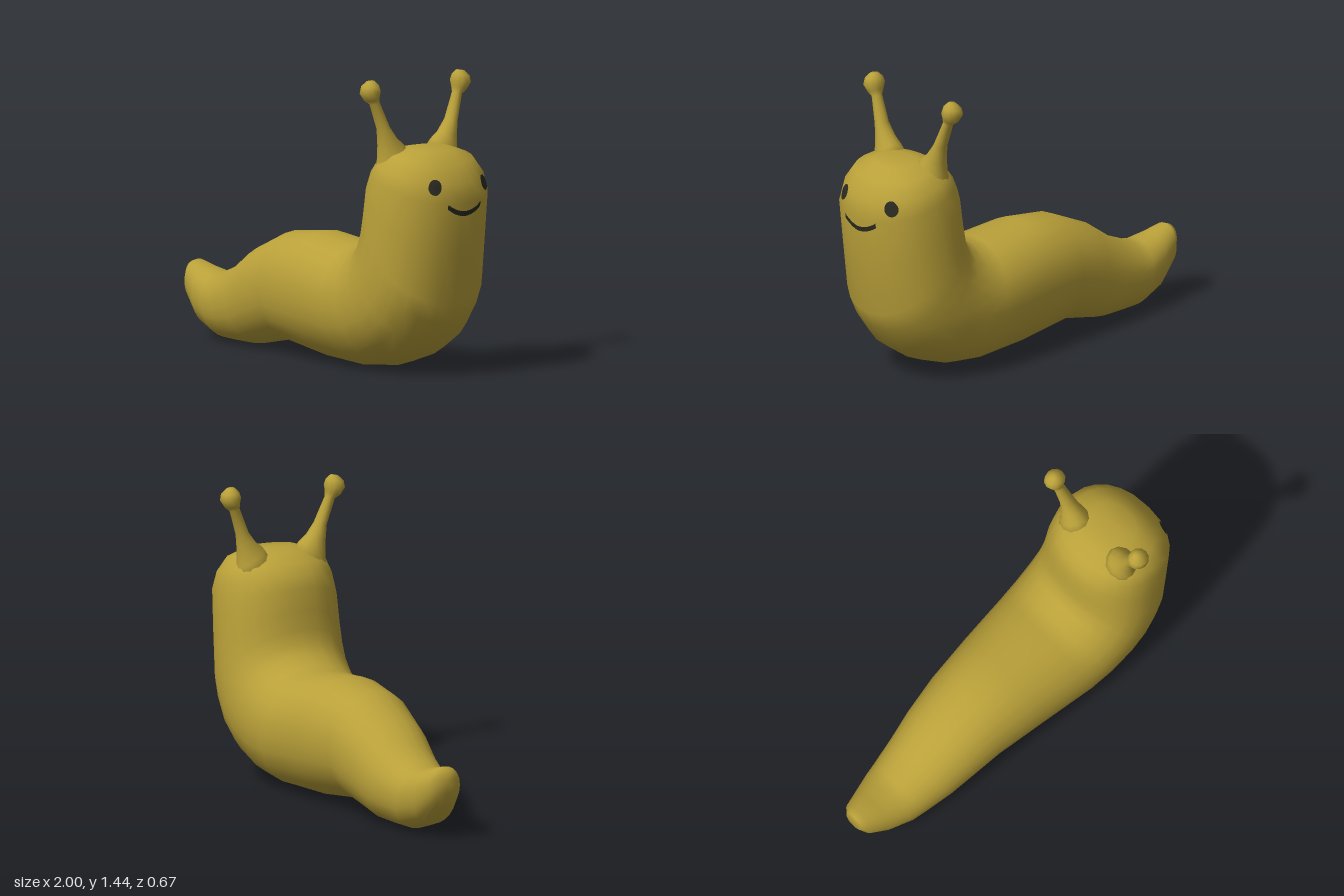
import * as THREE from 'three';

const skin = new THREE.MeshStandardMaterial({ color: 0xb9a039 });
skin.name = 'mustardSkin';
const ink = new THREE.MeshStandardMaterial({ color: 0x2a2a22 });
ink.name = 'darkFace';

const V = (x, y, z) => new THREE.Vector3(x, y, z);

// Closed skin through rings { c: centre, u, v: half axes }, with u x v pointing along the path
function loft(rings, sides, power) {
  const pos = [], idx = [];
  const bend = (n) => Math.sign(n) * Math.abs(n) ** (2 / power);
  for (const { c, u, v } of rings) {
    for (let j = 0; j < sides; j++) {
      const t = (j / sides) * Math.PI * 2;
      const p = c.clone().addScaledVector(u, bend(Math.cos(t))).addScaledVector(v, bend(Math.sin(t)));
      pos.push(p.x, p.y, p.z);
    }
  }
  const last = (rings.length - 1) * sides, start = rings.length * sides;
  pos.push(...rings[0].c.toArray(), ...rings[rings.length - 1].c.toArray());
  for (let j = 0; j < sides; j++) {
    const k = (j + 1) % sides;
    for (let r = 0; r < last; r += sides) {
      idx.push(r + j, r + k, r + sides + j, r + k, r + sides + k, r + sides + j);
    }
    idx.push(start, k, j, start + 1, last + j, last + k);
  }
  const g = new THREE.BufferGeometry();
  g.setAttribute('position', new THREE.Float32BufferAttribute(pos, 3));
  g.setIndex(idx);
  g.computeVertexNormals();
  return g;
}

function addMesh(group, name, geometry, material) {
  const mesh = new THREE.Mesh(geometry, material);
  mesh.name = name;
  group.add(mesh);
  return mesh;
}

// Body sections: back edge x, y; belly edge x, y; half width
const BODY = [
  [-0.995, 0.355, -1.0, 0.24, 0.05],
  [-0.965, 0.366, -0.965, 0.165, 0.085],
  [-0.88, 0.345, -0.86, 0.06, 0.12],
  [-0.79, 0.326, -0.72, 0.012, 0.155],
  [-0.73, 0.335, -0.62, 0.01, 0.17],
  [-0.6, 0.39, -0.48, 0.01, 0.195],
  [-0.46, 0.49, -0.36, 0.035, 0.217],
  [-0.24, 0.59, -0.24, 0.06, 0.24],
  [-0.02, 0.615, 0.08, 0.015, 0.272],
  [0.25, 0.585, 0.36, 0.003, 0.305],
  [0.33, 0.597, 0.52, 0.02, 0.315],
  [0.4, 0.64, 0.68, 0.075, 0.32],
  [0.432, 0.69, 0.8, 0.155, 0.32],
  [0.445, 0.75, 0.885, 0.27, 0.318],
  [0.455, 0.84, 0.93, 0.36, 0.314],
  [0.465, 0.95, 0.968, 0.63, 0.305],
  [0.49, 1.01, 1.0, 0.86, 0.292],
  [0.53, 1.06, 0.975, 0.955, 0.27],
  [0.6, 1.1, 0.93, 1.04, 0.215],
  [0.67, 1.113, 0.85, 1.095, 0.12],
];

// Stalk sections: x, y, z, half size in x, half size in z, tilt of the ring
const STALK = [
  [0.655, 1.0, 0.15, 0.1, 0.1, -0.06],
  [0.655, 1.085, 0.17, 0.066, 0.066, -0.045],
  [0.655, 1.14, 0.19, 0.05, 0.047, -0.02],
  [0.655, 1.21, 0.215, 0.037, 0.03, -0.006],
  [0.645, 1.335, 0.262, 0.027, 0.024, -0.006],
  [0.642, 1.358, 0.276, 0.042, 0.036, -0.012],
  [0.642, 1.39, 0.286, 0.055, 0.05, -0.008],
  [0.642, 1.42, 0.288, 0.046, 0.043, -0.006],
  [0.642, 1.443, 0.286, 0.02, 0.02, -0.003],
];

// Lay a flat patch, drawn in (z, y), on the front of the body
function drape(geometry, body, place) {
  const p = geometry.attributes.position;
  const ray = new THREE.Raycaster();
  for (let i = 0; i < p.count; i++) {
    const [z, y] = place(p.getX(i), p.getY(i));
    ray.set(V(2, y, z), V(-1, 0, 0));
    const hit = ray.intersectObject(body)[0];
    const q = hit.point.addScaledVector(hit.face.normal, 0.006);
    p.setXYZ(i, q.x, q.y, q.z);
  }
  geometry.computeVertexNormals();
  return geometry;
}

export function createModel() {
  const group = new THREE.Group();
  group.name = 'slug';

  // Body, from tail tip to crown
  const bodyRings = BODY.map(([ax, ay, bx, by, w]) => ({
    c: V((ax + bx) / 2, (ay + by) / 2, 0),
    u: V((ax - bx) / 2, (ay - by) / 2, 0),
    v: V(0, 0, w),
  }));
  const body = addMesh(group, 'body', loft(bodyRings, 24, 2.15), skin);
  body.updateMatrixWorld(true);

  // Eye stalks with round tips
  for (const s of [1, -1]) {
    const rings = STALK.map(([x, y, z, rx, rz, tilt]) => ({
      c: V(x, y, s * z),
      u: V(0, s * tilt, rz),
      v: V(rx, 0, 0),
    }));
    addMesh(group, s > 0 ? 'leftStalk' : 'rightStalk', loft(rings, 12, 2), skin);
  }

  // Painted eyes
  for (const [name, cz, cy, lean] of [['leftEye', 0.14, 0.944, -0.25], ['rightEye', -0.177, 0.938, 0.25]]) {
    const disc = new THREE.RingGeometry(0.001, 1, 18, 4);
    addMesh(group, name, drape(disc, body, (a, b) => [
      cz - 0.031 * a,
      cy + 0.036 * b + lean * 0.031 * a * -1,
    ]), ink);
  }

  // Painted smile
  const strip = new THREE.PlaneGeometry(1, 1, 24, 3);
  addMesh(group, 'smile', drape(strip, body, (a, b) => [
    -0.013 - 0.208 * a,
    0.812 + 0.155 * a * a + b * 0.024,
  ]), ink);

  return group;
}
